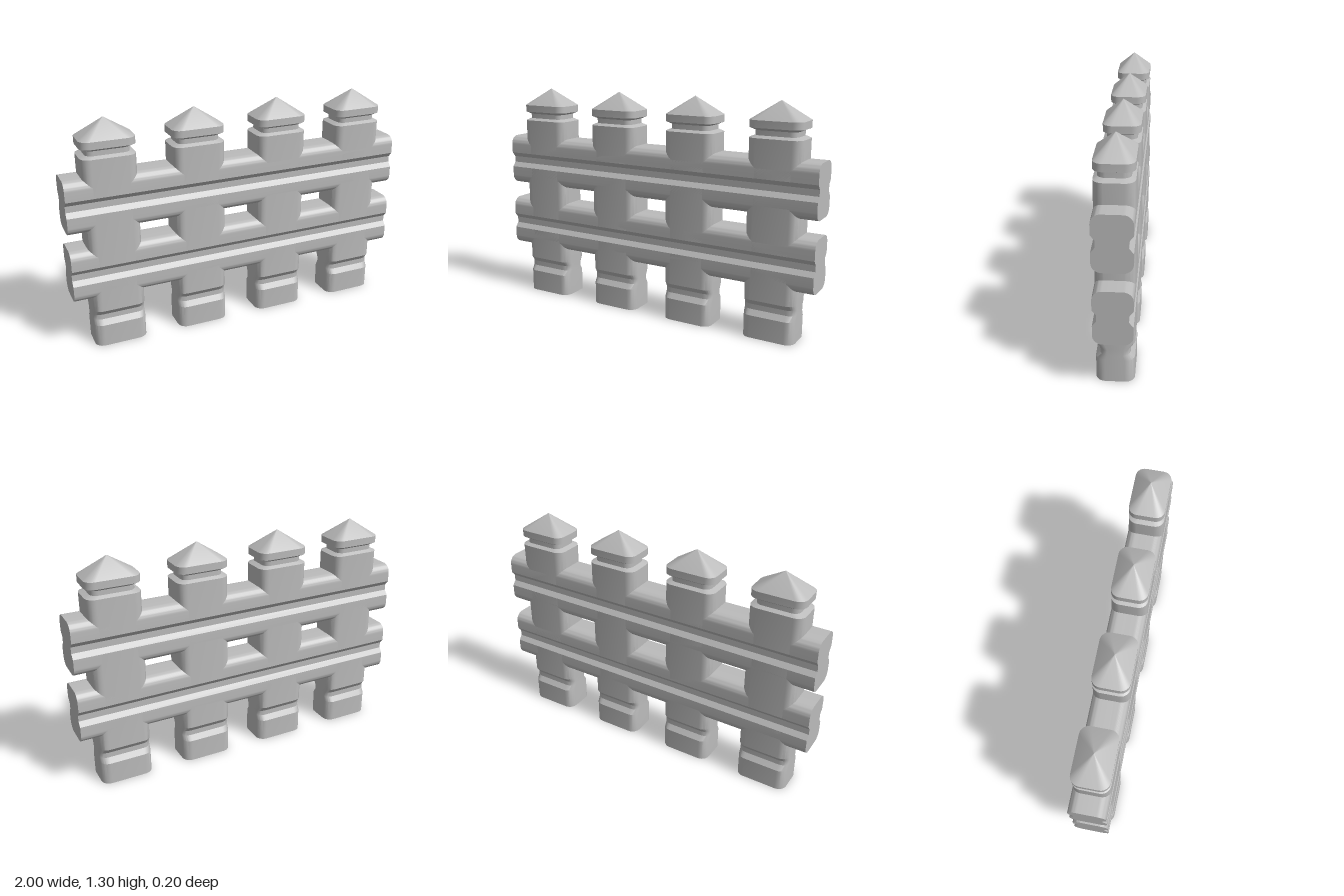
import * as THREE from 'three';
import { toCreasedNormals } from 'three/addons/utils/BufferGeometryUtils.js';

const CREASE = 0.5;

// Outline of a rectangle with rounded corners, as [x, z] points
function roundedRing(hx, hz, r, steps = 6) {
  const ring = [];
  const corners = [[1, 1], [-1, 1], [-1, -1], [1, -1]];
  corners.forEach(([sx, sz], c) => {
    for (let i = 0; i <= steps; i++) {
      const a = (c + i / steps) * Math.PI / 2;
      ring.push([sx * (hx - r) + r * Math.cos(a), -(sz * (hz - r) + r * Math.sin(a))]);
    }
  });
  return ring;
}

// Skin a ring through levels of [y, x scale, z scale]; a scale of 0 makes a point
function loft(ring, levels) {
  const pos = [];
  const point = ([y, sx, sz], i) => {
    const [x, z] = ring[i % ring.length];
    return [x * sx, y, z * sz];
  };
  for (let k = 0; k < levels.length - 1; k++) {
    const lo = levels[k], hi = levels[k + 1];
    for (let i = 0; i < ring.length; i++) {
      pos.push(...point(lo, i), ...point(lo, i + 1), ...point(hi, i + 1));
      if (hi[1] > 0) pos.push(...point(lo, i), ...point(hi, i + 1), ...point(hi, i));
    }
  }
  const geo = new THREE.BufferGeometry();
  geo.setAttribute('position', new THREE.Float32BufferAttribute(pos, 3));
  return toCreasedNormals(geo, CREASE);
}

// Post levels for a groove cut in the front and back only
const groove = (y, s) => [
  [y - 0.045, 1, 1], [y - 0.015, 1, s], [y + 0.015, 1, s], [y + 0.045, 1, 1],
];

// Rail section: rounded rectangle with a groove on both faces
function railGeometry() {
  const h = 0.15, d = 0.1, r = 0.05, n = 0.078;
  const s = new THREE.Shape();
  s.moveTo(d - r, -h);
  s.absarc(d - r, -h + r, r, -Math.PI / 2, 0);
  s.lineTo(d, -0.045);
  s.lineTo(n, -0.018);
  s.lineTo(n, 0.018);
  s.lineTo(d, 0.045);
  s.absarc(d - r, h - r, r, 0, Math.PI / 2);
  s.absarc(r - d, h - r, r, Math.PI / 2, Math.PI);
  s.lineTo(-d, 0.045);
  s.lineTo(-n, 0.018);
  s.lineTo(-n, -0.018);
  s.lineTo(-d, -0.045);
  s.absarc(r - d, r - h, r, Math.PI, Math.PI * 1.5);
  s.closePath();
  const geo = new THREE.ExtrudeGeometry(s, { depth: 2, bevelEnabled: false, curveSegments: 6 });
  geo.translate(0, 0, -1);
  geo.rotateY(Math.PI / 2);
  return toCreasedNormals(geo, CREASE);
}

export function createModel() {
  const group = new THREE.Group();
  group.name = 'fence';
  const grey = new THREE.MeshStandardMaterial({ color: 0xbbbbbb, side: THREE.DoubleSide });
  grey.name = 'grey';

  // Posts: hollow at the foot, grooved, with a neck and a pointed cap
  const postGeo = loft(roundedRing(0.15, 0.1, 0.05), [
    [0, 1, 1],
    ...groove(0.175, 0.78),
    ...groove(0.45, 0.72),
    ...groove(0.85, 0.72),
    [1.107, 1, 1],
    [1.12, 0.8, 0.8],
    [1.147, 0.8, 0.8],
    [1.16, 1, 1],
    [1.2, 1, 1],
    [1.3, 0, 0],
  ]);
  [-0.75, -0.25, 0.25, 0.75].forEach((x, i) => {
    const post = new THREE.Mesh(postGeo, grey);
    post.name = `post${i + 1}`;
    post.position.x = x;
    group.add(post);
  });

  // Rails
  const railGeo = railGeometry();
  [['lowerRail', 0.45], ['upperRail', 0.85]].forEach(([name, y]) => {
    const rail = new THREE.Mesh(railGeo, grey);
    rail.name = name;
    rail.position.y = y;
    group.add(rail);
  });

  return group;
}
